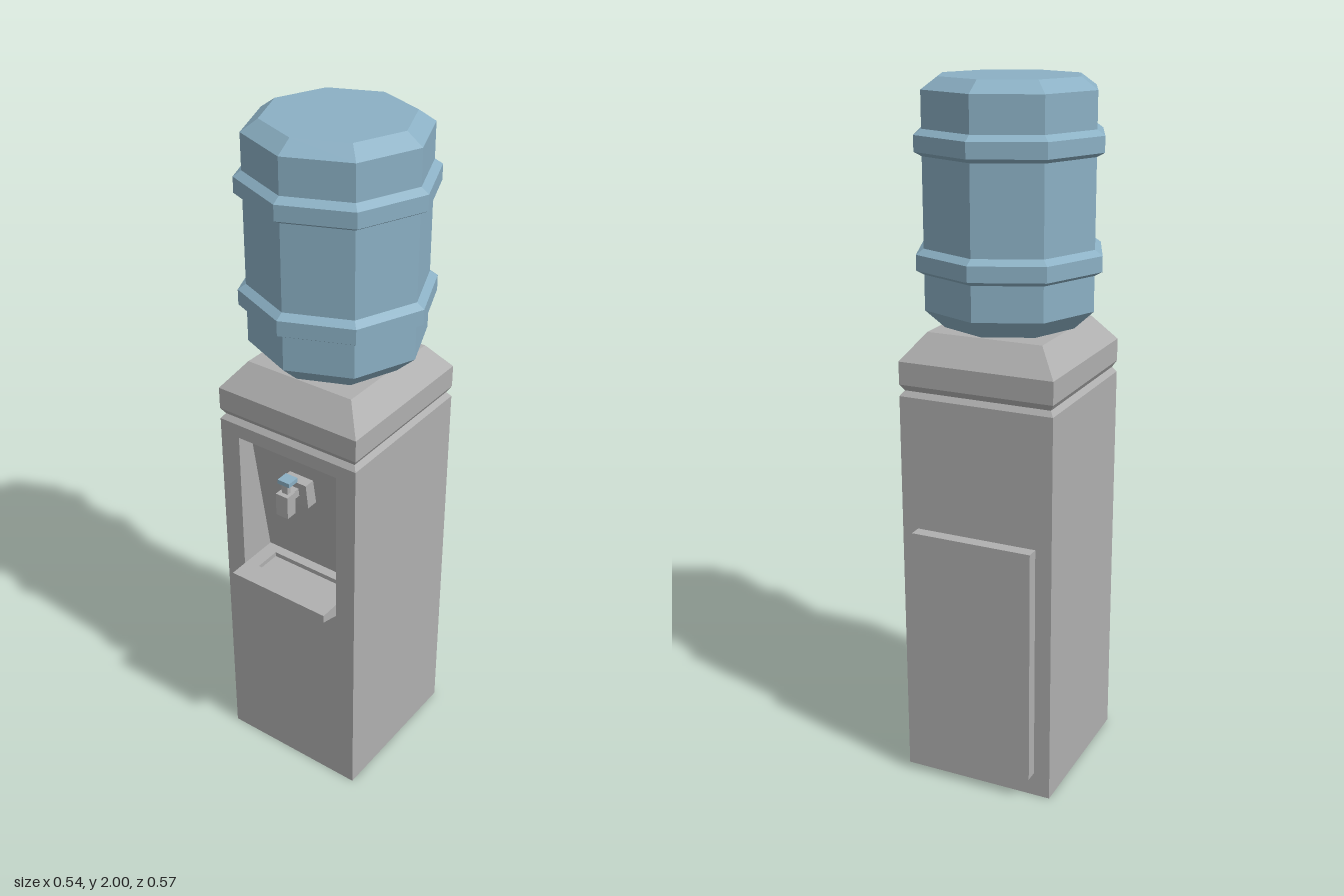
import * as THREE from 'three';

const grey = new THREE.MeshStandardMaterial({ color: 0xb0b0b0, flatShading: true });
grey.name = 'grey plastic';
const blue = new THREE.MeshStandardMaterial({ color: 0x8bb0c4, flatShading: true });
blue.name = 'blue plastic';

const points = (list) => list.map(([x, y]) => new THREE.Vector2(x, y));

export function createModel() {
  const group = new THREE.Group();
  group.name = 'waterCooler';

  const add = (name, geometry, material = grey) => {
    const mesh = new THREE.Mesh(geometry, material);
    mesh.name = name;
    group.add(mesh);
    return mesh;
  };

  // box given by its lower and upper limits
  const box = (name, [x0, x1], [y0, y1], [z0, z1], material) =>
    add(name, new THREE.BoxGeometry(x1 - x0, y1 - y0, z1 - z0)
      .translate((x0 + x1) / 2, (y0 + y1) / 2, (z0 + z1) / 2), material);

  // side profile in (z, y), extruded across x and centred
  const slab = (name, profile, width) =>
    add(name, new THREE.ExtrudeGeometry(new THREE.Shape(points(profile)), { depth: width, bevelEnabled: false })
      .rotateY(-Math.PI / 2).translate(width / 2, 0, 0));

  const rectangle = (x0, x1, y0, y1) => points([[x0, y0], [x1, y0], [x1, y1], [x0, y1]]);

  // cabinet: solid rear and a front section with the dispenser opening
  const W = 0.228, back = -0.247, front = 0.227, split = 0.09, top = 1.157;
  box('cabinetRear', [-W, W], [0, top], [back, split]);
  const face = new THREE.Shape(rectangle(-W, W, 0, top));
  face.holes.push(new THREE.Path(rectangle(-0.165, 0.165, 0.636, 1.116)));
  add('cabinetFront', new THREE.ExtrudeGeometry(face, { depth: front - split, bevelEnabled: false })
    .translate(0, 0, split));
  slab('nicheBackWall', [[split, 0.64], [0.1, 0.64], [0.177, 1.116], [split, 1.116]], 0.33);

  // lid with groove and sloping shoulders: four-sided lathe
  const lid = [[0, 1.15], [W, top], [0.217, 1.172], [W, 1.19], [W, 1.255], [0.17, 1.33], [0, 1.33]]
    .map(([r, y]) => [r * Math.SQRT2, y]);
  add('lid', new THREE.LatheGeometry(points(lid), 4, Math.PI / 4)
    .scale(1, 1, 0.237 / W).translate(0, 0, -0.01));

  // rear panel
  box('rearPanel', [-0.18, 0.18], [0.072, 0.773], [-0.284, back]);

  // drip tray: wedge base with a raised rim
  slab('dripTray', [[0.095, 0.636], [front, 0.636], [0.284, 0.652], [0.284, 0.662], [0.095, 0.662]], 0.328);
  const rim = new THREE.Shape(rectangle(-0.164, 0.164, -0.284, -0.095));
  rim.holes.push(new THREE.Path(rectangle(-0.122, 0.122, -0.215, -0.135)));
  add('dripTrayRim', new THREE.ExtrudeGeometry(rim, { depth: 0.014, bevelEnabled: false })
    .rotateX(-Math.PI / 2).translate(0, 0.662, 0));

  // tap
  slab('tapMount', [[0.135, 0.937], [0.185, 0.937], [0.195, 1.018], [0.135, 1.018]], 0.08);
  box('tapPipe', [-0.013, 0.013], [0.972, 0.998], [0.18, 0.225]);
  box('tapSpout', [-0.02, 0.02], [0.932, 1.002], [0.217, 0.252]);
  box('tapStem', [-0.01, 0.01], [1.002, 1.032], [0.224, 0.238]);
  box('tapLever', [-0.02, 0.02], [1.031, 1.044], [0.205, 0.243], blue);

  // bottle: eight-sided lathe with two raised bands
  const R = 0.246, band = 0.268;
  const bottle = [[0, 1.338], [0.19, 1.338], [R, 1.39]];
  for (const y of [1.488, 1.8]) {
    bottle.push([R, y], [band, y + 0.012], [band, y + 0.055], [R, y + 0.07]);
  }
  bottle.push([R, 1.968], [0.2, 2], [0, 2]);
  add('bottle', new THREE.LatheGeometry(points(bottle), 8).translate(0, 0, -0.015), blue);
  add('bottleNeck', new THREE.CylinderGeometry(0.06, 0.06, 0.04, 8).translate(0, 1.33, -0.015), blue);

  return group;
}
